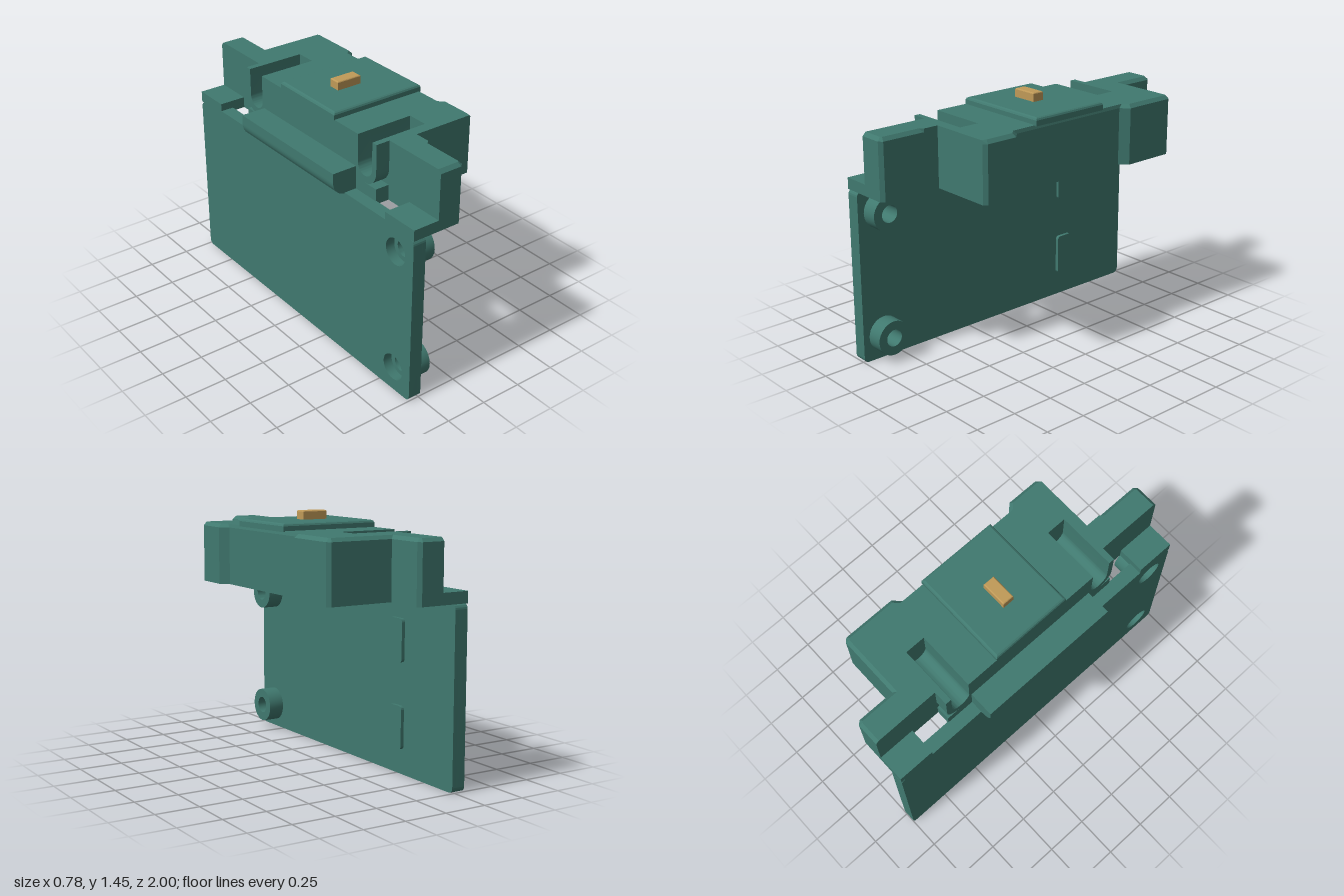
import * as THREE from 'three';
import { toCreasedNormals } from 'three/addons/utils/BufferGeometryUtils.js';

export function createModel() {
  const model = new THREE.Group();
  model.name = 'bracket';
  const green = new THREE.MeshStandardMaterial({ color: 0x41807a });
  green.name = 'teal green';
  green.color.set(0x40796f);
  const brass = new THREE.MeshStandardMaterial({ color: 0xc09a58 });
  brass.name = 'brass';

  const add = (name, geo, mat = green) => {
    const mesh = new THREE.Mesh(geo, mat);
    mesh.name = name;
    model.add(mesh);
    return mesh;
  };
  // Box given by its two extreme corners
  const box = (name, x0, x1, y0, y1, z0, z1, mat) => {
    const geo = new THREE.BoxGeometry(x1 - x0, y1 - y0, z1 - z0);
    geo.translate((x0 + x1) / 2, (y0 + y1) / 2, (z0 + z1) / 2);
    return add(name, geo, mat);
  };
  // Profile drawn in (-z, y), extruded from x0 to x1
  const alongX = (name, shape, x0, x1) => {
    const geo = new THREE.ExtrudeGeometry(shape, { depth: x1 - x0, bevelEnabled: false, curveSegments: 14 });
    geo.rotateY(Math.PI / 2).translate(x0, 0, 0);
    return add(name, toCreasedNormals(geo, 0.5));
  };
  const circle = (Type, z, y, r) => new Type().absarc(-z, y, r, 0, Math.PI * 2, false);
  const roundedRect = (z0, z1, y0, y1, r) => {
    const s = new THREE.Shape();
    const a = -z1, b = -z0;
    s.absarc(b - r, y0 + r, r, -Math.PI / 2, 0, false);
    s.absarc(b - r, y1 - r, r, 0, Math.PI / 2, false);
    s.absarc(a + r, y1 - r, r, Math.PI / 2, Math.PI, false);
    s.absarc(a + r, y0 + r, r, Math.PI, Math.PI * 1.5, false);
    return s;
  };
  // Solid through matching (x, z) outlines stacked at rising heights
  const loft = (name, levels) => {
    const pos = [];
    const tri = (...pts) => pts.forEach((p) => pos.push(...p));
    const at = (l, i) => {
      const p = l.pts[i % l.pts.length];
      return [p[0], l.y, p[1]];
    };
    for (let k = 0; k < levels.length - 1; k++) {
      const lo = levels[k], hi = levels[k + 1];
      for (let i = 0; i < lo.pts.length; i++) {
        tri(at(lo, i), at(hi, i), at(hi, i + 1));
        tri(at(lo, i), at(hi, i + 1), at(lo, i + 1));
      }
    }
    const cap = (l, up) => {
      const faces = THREE.ShapeUtils.triangulateShape(l.pts.map((p) => new THREE.Vector2(...p)), []);
      for (const [a, b, c] of faces) {
        if (up) tri(at(l, a), at(l, c), at(l, b));
        else tri(at(l, a), at(l, b), at(l, c));
      }
    };
    cap(levels[0], false);
    cap(levels[levels.length - 1], true);
    const geo = new THREE.BufferGeometry();
    geo.setAttribute('position', new THREE.Float32BufferAttribute(pos, 3));
    geo.computeVertexNormals();
    return add(name, geo);
  };

  // Upright plate in two layers, the rear one with wider counterbores
  const holeY = [0.145, 0.88];
  const holeZ = 0.86;
  const plate = (name, x0, x1, r) => {
    const s = roundedRect(-1, 1, 0, 1.01, 0.03);
    holeY.forEach((y) => s.holes.push(circle(THREE.Path, holeZ, y, r)));
    alongX(name, s, x0, x1);
  };
  plate('plateRear', -0.315, -0.26, 0.078);
  plate('plateFront', -0.26, -0.235, 0.05);

  // Ring standoffs around the holes
  for (const y of holeY) {
    const s = circle(THREE.Shape, holeZ, y, 0.102);
    s.holes.push(circle(THREE.Path, holeZ, y, 0.05));
    alongX('standoff', s, -0.235, -0.14);
  }
  // Raised pads
  for (const y of [0.145, 0.635]) {
    alongX('pad', roundedRect(-0.56, -0.45, y, y + 0.245, 0.02), -0.235, -0.215);
  }

  // Joint strip above the plate and the thicker end flanges
  box('jointStrip', -0.315, -0.235, 1.01, 1.03, -1, 1);
  box('endFlange', -0.315, -0.155, 1.01, 1.075, 0.77, 1);
  box('endFlange', -0.315, -0.155, 1.01, 1.075, -1, -0.78);

  // Outer housing, chamfered along its upper edge
  const lower = [
    [-0.155, -1], [-0.02, -1], [0, -0.98], [0, -0.76], [0.37, -0.76], [0.39, -0.74],
    [0.39, -0.43], [0.345, -0.385], [0.345, 0.375], [0.39, 0.42], [0.39, 0.61], [0.37, 0.63],
    [0, 0.63], [0, 0.72], [0, 0.74], [0, 0.98], [-0.02, 1], [-0.155, 1],
    [-0.155, 0.6], [0.11, 0.6], [0.11, -0.6], [-0.155, -0.6],
  ];
  const upper = [
    [-0.155, -0.98], [-0.028, -0.98], [-0.02, -0.972], [-0.02, -0.74], [0.362, -0.74], [0.37, -0.732],
    [0.37, -0.438], [0.34, -0.408], [0.34, 0.398], [0.37, 0.428], [0.37, 0.602], [0.362, 0.63],
    [0, 0.63], [0, 0.72], [-0.02, 0.74], [-0.02, 0.972], [-0.028, 0.98], [-0.155, 0.98],
    [-0.155, 0.6], [0.11, 0.6], [0.11, -0.6], [-0.155, -0.6],
  ];
  loft('housing', [{ pts: lower, y: 1.01 }, { pts: lower, y: 1.34 }, { pts: upper, y: 1.36 }]);

  // Core with two round-bottomed slots; its rear end has rounded lower corners
  const core = (bottom, corner) => {
    const s = new THREE.Shape();
    const c = 0.505, r = 0.06, top = 1.36, slotY = 1.2;
    if (corner) {
      s.absarc(0.6 - corner, bottom + corner, corner, -Math.PI / 2, 0, false);
    } else {
      s.moveTo(-0.6, bottom);
      s.lineTo(0.6, bottom);
    }
    s.lineTo(0.6, top);
    for (const m of [c, -c]) {
      s.lineTo(m + r, top);
      s.absarc(m, slotY, r, 0, -Math.PI, true);
      s.lineTo(m - r, top);
    }
    s.lineTo(-0.6, top);
    if (corner) s.absarc(-0.6 + corner, bottom + corner, corner, Math.PI, Math.PI * 1.5, false);
    return s;
  };
  alongX('slottedCore', core(1.01, 0), -0.155, 0.11);
  alongX('slottedCradle', core(1.1, 0.095), -0.24, -0.155);
  box('cradleBase', -0.24, -0.155, 1.01, 1.1, -0.6, 0.6);

  // Rear lip with a rounded lower edge
  const lip = new THREE.Shape();
  lip.moveTo(-0.235, 1.025);
  lip.lineTo(-0.235, 1.165);
  lip.lineTo(-0.39, 1.165);
  lip.absarc(-0.305, 1.11, 0.085, Math.PI, Math.PI * 1.5, false);
  const lipGeo = new THREE.ExtrudeGeometry(lip, { depth: 0.86, bevelEnabled: false, curveSegments: 14 });
  add('rearLip', toCreasedNormals(lipGeo.translate(0, 0, -0.43), 0.5));

  // Raised centre cap and brass pin, both with trimmed upper edges
  const rect = (x0, x1, z0, z1, d = 0) => [[x0 + d, z0 + d], [x1 - d, z0 + d], [x1 - d, z1 - d], [x0 + d, z1 - d]];
  const trimmed = (name, x0, x1, z0, z1, y0, y1, d) => loft(name, [
    { pts: rect(x0, x1, z0, z1), y: y0 },
    { pts: rect(x0, x1, z0, z1), y: y1 - d },
    { pts: rect(x0, x1, z0, z1, d * 0.35), y: y1 - d * 0.35 },
    { pts: rect(x0, x1, z0, z1, d), y: y1 },
  ]);
  trimmed('centreCap', -0.242, 0.35, -0.25, 0.243, 1.355, 1.4, 0.014);
  trimmed('pin', -0.06, 0.094, -0.036, 0.034, 1.395, 1.45, 0.006).material = brass;

  return model;
}
